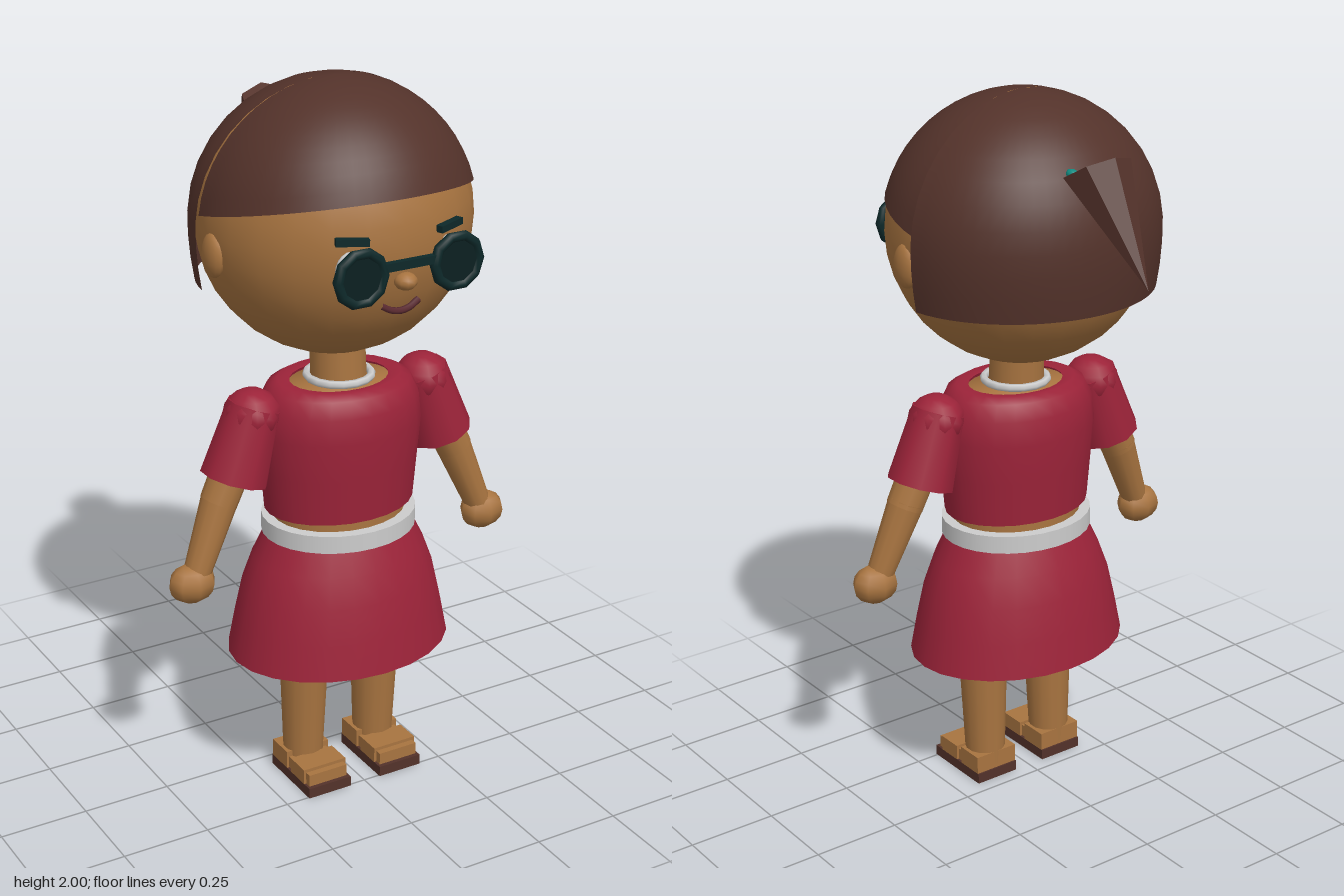
import * as THREE from 'three';

const mat = (name, color, side = THREE.FrontSide) => {
  const m = new THREE.MeshStandardMaterial({ color, side });
  m.name = name;
  return m;
};

export function createModel() {
  const skin = mat('skin', 0xa87440);
  const hair = mat('brown hair and soles', 0x53322a, THREE.DoubleSide);
  const red = mat('red cloth', 0x9c2339, THREE.DoubleSide);
  const grey = mat('pale grey', 0xcccccc);
  const dark = mat('dark frames', 0x0d2829);
  const lensMat = mat('dark lenses', 0x0b1f20);
  const teal = mat('teal', 0x118a80);
  const lip = mat('lips', 0x5a2a30);

  const model = new THREE.Group();
  model.name = 'doll';

  const add = (name, geo, material, x = 0, y = 0, z = 0) => {
    const m = new THREE.Mesh(geo, material);
    m.name = name;
    m.position.set(x, y, z);
    model.add(m);
    return m;
  };
  const ball = (name, material, p, r, w = 16, h = 12) => {
    const m = add(name, new THREE.SphereGeometry(1, w, h), material, ...p);
    m.scale.set(...r);
    return m;
  };
  const box = (name, material, size, p) => add(name, new THREE.BoxGeometry(...size), material, ...p);
  // Tapered cylinder from a to b
  const limb = (name, material, a, b, ra, rb, sides = 12) => {
    const A = new THREE.Vector3(...a), B = new THREE.Vector3(...b);
    const d = A.clone().sub(B);
    const m = add(name, new THREE.CylinderGeometry(ra, rb, d.length(), sides), material);
    m.position.copy(A).add(B).multiplyScalar(0.5);
    m.quaternion.setFromUnitVectors(new THREE.Vector3(0, 1, 0), d.normalize());
    return m;
  };
  // Lathe with an oval section, profile given bottom to top
  const oval = (name, material, pts, depth) => {
    const m = add(name, new THREE.LatheGeometry(pts.map(p => new THREE.Vector2(...p)), 24), material, 0, 0, 0.1);
    m.scale.z = depth;
    return m;
  };

  // Head
  const cy = 1.63, cz = 0.07;
  ball('head', skin, [0, cy, cz], [0.37, 0.367, 0.355], 24, 18);
  ball('nose', skin, [0, 1.55, 0.425], [0.031, 0.023, 0.03], 10, 8);

  // Hair shells: dome patches that end at a hairline height
  const hairPatch = (name, t0, t1, rx, rz, lineY, tuck) => {
    const R = 0.37, g = new THREE.PlaneGeometry(1, 1, 28, 12), pos = g.attributes.position;
    for (let i = 0; i < pos.count; i++) {
      const t = t0 + (pos.getX(i) + 0.5) * (t1 - t0);
      let end = Math.PI / 2;
      for (let k = 0; k < 8; k++) end = Math.acos(lineY(rz * Math.sin(end) * Math.cos(t)) / R);
      const phi = (0.5 - pos.getY(i)) * end;
      const c = Math.cos(phi);
      const s = c < 0 ? Math.sqrt(1 - c * c * tuck) : Math.sin(phi);
      pos.setXYZ(i, rx * s * Math.sin(t), R * c, rz * s * Math.cos(t));
    }
    g.computeVertexNormals();
    add(name, g, hair, 0, cy, cz);
  };
  const split = 1.682;
  hairPatch('frontHair', -split, split, 0.378, 0.363, z => 0.05 + 0.23 * z, 1);
  hairPatch('backHair', split, 2 * Math.PI - split, 0.386, 0.361, () => -0.16, 0.4);

  // Ponytail: five-sided spike
  const ring = [[-0.09, 1.835, -0.225], [0.09, 1.835, -0.225], [0.072, 1.875, -0.295], [0, 1.892, -0.32], [-0.072, 1.875, -0.295]];
  const tip = [0, 1.58, -0.458], tri = [];
  ring.forEach((p, i) => {
    tri.push(...p, ...tip, ...ring[(i + 1) % 5]);
    if (i > 0 && i < 4) tri.push(...ring[0], ...p, ...ring[i + 1]);
  });
  const tail = new THREE.BufferGeometry();
  tail.setAttribute('position', new THREE.Float32BufferAttribute(tri, 3));
  tail.computeVertexNormals();
  add('ponytail', tail, hair);

  // Torso, neck and clothes
  limb('neck', skin, [0, 1.32, 0.09], [0, 1.12, 0.1], 0.074, 0.078, 16);
  oval('chest', skin, [[0.16, 1.1], [0.145, 1.178], [0, 1.182]], 0.75);
  const necklace = add('necklace', new THREE.TorusGeometry(0.088, 0.011, 6, 16), grey, 0, 1.192, 0.1);
  necklace.rotation.x = Math.PI / 2;
  oval('top', red, [[0.215, 0.825], [0.226, 0.95], [0.236, 1.06], [0.228, 1.13], [0.205, 1.175], [0.175, 1.19], [0.14, 1.185]], 0.78);
  oval('waist', skin, [[0.19, 0.76], [0.19, 0.85]], 0.84);
  const belt = add('belt', new THREE.CylinderGeometry(0.219, 0.219, 0.05, 28), grey, 0, 0.775, 0.1);
  belt.scale.z = 0.87;
  oval('skirt', red, [[0.323, 0.4], [0.303, 0.5], [0.28, 0.6], [0.25, 0.68], [0.212, 0.755]], 0.8);

  // Mouth: smiling tube on the face
  const smile = [-0.055, -0.028, 0, 0.028, 0.055].map(x =>
    new THREE.Vector3(x, 1.466 + 6.5 * x * x, 0.404 - 1.6 * x * x));
  add('mouth', new THREE.TubeGeometry(new THREE.CatmullRomCurve3(smile), 12, 0.009, 6), lip);

  // Glasses bridge
  box('glassesBridge', dark, [0.15, 0.022, 0.018], [0, 1.602, 0.442]);

  // Mirrored parts
  for (const s of [-1, 1]) {
    const side = s > 0 ? 'left' : 'right';
    ball(side + 'Ear', skin, [s * 0.362, 1.58, 0.085], [0.025, 0.06, 0.045], 12, 10);
    ball(side + 'Eye', grey, [s * 0.14, 1.59, 0.395], [0.045, 0.052, 0.026], 12, 10);
    add(side + 'GlassesRim', new THREE.TorusGeometry(0.066, 0.014, 8, 10), dark, s * 0.14, 1.585, 0.442);
    const lens = add(side + 'Lens', new THREE.CylinderGeometry(0.06, 0.06, 0.014, 16), lensMat, s * 0.14, 1.585, 0.442);
    lens.rotation.x = Math.PI / 2;
    const brow = box(side + 'Eyebrow', dark, [0.085, 0.018, 0.02], [s * 0.142, 1.668, 0.402]);
    brow.rotation.set(0, s * 0.35, s * 0.05);
    const tie = ball(side + 'HairTie', teal, [s * 0.06, 1.836, -0.229], [0.016, 0.016, 0.024], 8, 6);
    tie.rotation.set(-0.5, s * 0.3, 0);

    // Arm
    ball(side + 'Shoulder', red, [s * 0.265, 1.13, 0.1], [0.078, 0.07, 0.08], 10, 8);
    limb(side + 'Sleeve', red, [s * 0.258, 1.155, 0.1], [s * 0.322, 0.958, 0.1], 0.074, 0.094, 10);
    limb(side + 'UpperArm', skin, [s * 0.3, 1.05, 0.1], [s * 0.372, 0.9, 0.105], 0.054, 0.051);
    limb(side + 'Forearm', skin, [s * 0.365, 0.915, 0.104], [s * 0.45, 0.71, 0.12], 0.051, 0.037);
    ball(side + 'Hand', skin, [s * 0.463, 0.69, 0.12], [0.067, 0.055, 0.053], 8, 8);

    // Leg and shoe
    const x = s * 0.115;
    limb(side + 'Thigh', skin, [x, 0.72, 0.108], [x, 0.355, 0.107], 0.075, 0.069, 14);
    limb(side + 'Shin', skin, [x, 0.36, 0.107], [x, 0.04, 0.1], 0.069, 0.056, 14);
    box(side + 'Sole', hair, [0.134, 0.03, 0.215], [x, 0.015, 0.148]);
    box(side + 'Foot', skin, [0.12, 0.036, 0.195], [x, 0.047, 0.146]);
    box(side + 'ToeStrap', skin, [0.134, 0.045, 0.075], [x, 0.052, 0.187]);
    box(side + 'HeelStrap', skin, [0.134, 0.052, 0.082], [x, 0.056, 0.086]);
  }
  return model;
}
